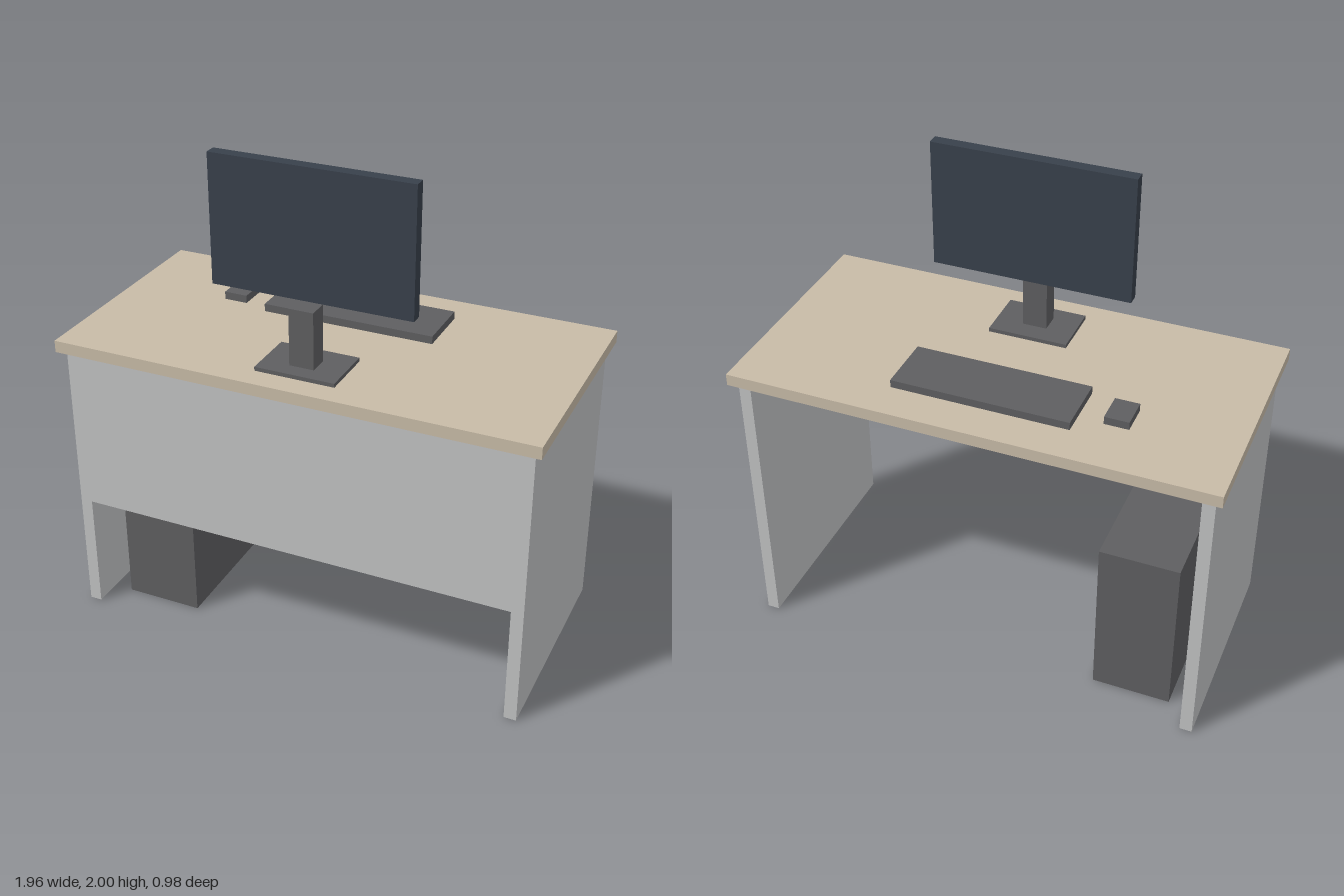
import * as THREE from 'three';

const material = (name, color) => {
  const m = new THREE.MeshStandardMaterial({ color });
  m.name = name;
  return m;
};

export function createModel() {
  const desk = new THREE.Group();
  desk.name = 'computerDesk';

  const wood = material('beige wood', 0xc8bba7);
  const grey = material('light grey panel', 0xc0c1c2);
  const dark = material('dark grey plastic', 0x5e5e60);
  const navy = material('dark blue screen', 0x38404b);

  // Adds a box given its limits along each axis
  const box = (name, mat, [x0, x1], [y0, y1], [z0, z1], parent = desk) => {
    const mesh = new THREE.Mesh(new THREE.BoxGeometry(x1 - x0, y1 - y0, z1 - z0), mat);
    mesh.position.set((x0 + x1) / 2, (y0 + y1) / 2, (z0 + z1) / 2);
    mesh.name = name;
    parent.add(mesh);
  };

  // Table: top, two side panels and the modesty panel flush with their front edges
  const under = 1.183, top = 1.232;
  box('tableTop', wood, [-0.98, 0.98], [under, top], [-0.49, 0.49]);
  box('leftSidePanel', grey, [0.9, 0.95], [0, under], [-0.458, 0.458]);
  box('rightSidePanel', grey, [-0.95, -0.9], [0, under], [-0.458, 0.458]);
  box('modestyPanel', grey, [-0.9, 0.9], [0.497, under], [0.425, 0.458]);

  // Computer tower under the table
  box('computerTower', dark, [-0.82, -0.497], [0, 0.7], [-0.342, 0.342]);

  // Monitor on its stand
  const monitor = new THREE.Group();
  monitor.name = 'monitor';
  desk.add(monitor);
  box('standBase', dark, [-0.163, 0.163], [top, 1.248], [0.165, 0.393], monitor);
  box('standNeck', dark, [-0.05, 0.05], [1.248, 1.48], [0.245, 0.328], monitor);
  box('screen', navy, [-0.409, 0.409], [1.48, 2], [0.196, 0.245], monitor);

  // Keyboard and mouse
  box('keyboard', dark, [-0.36, 0.36], [top, 1.264], [-0.329, -0.083]);
  box('mouse', dark, [-0.56, -0.462], [top, 1.264], [-0.247, -0.121]);

  return desk;
}
